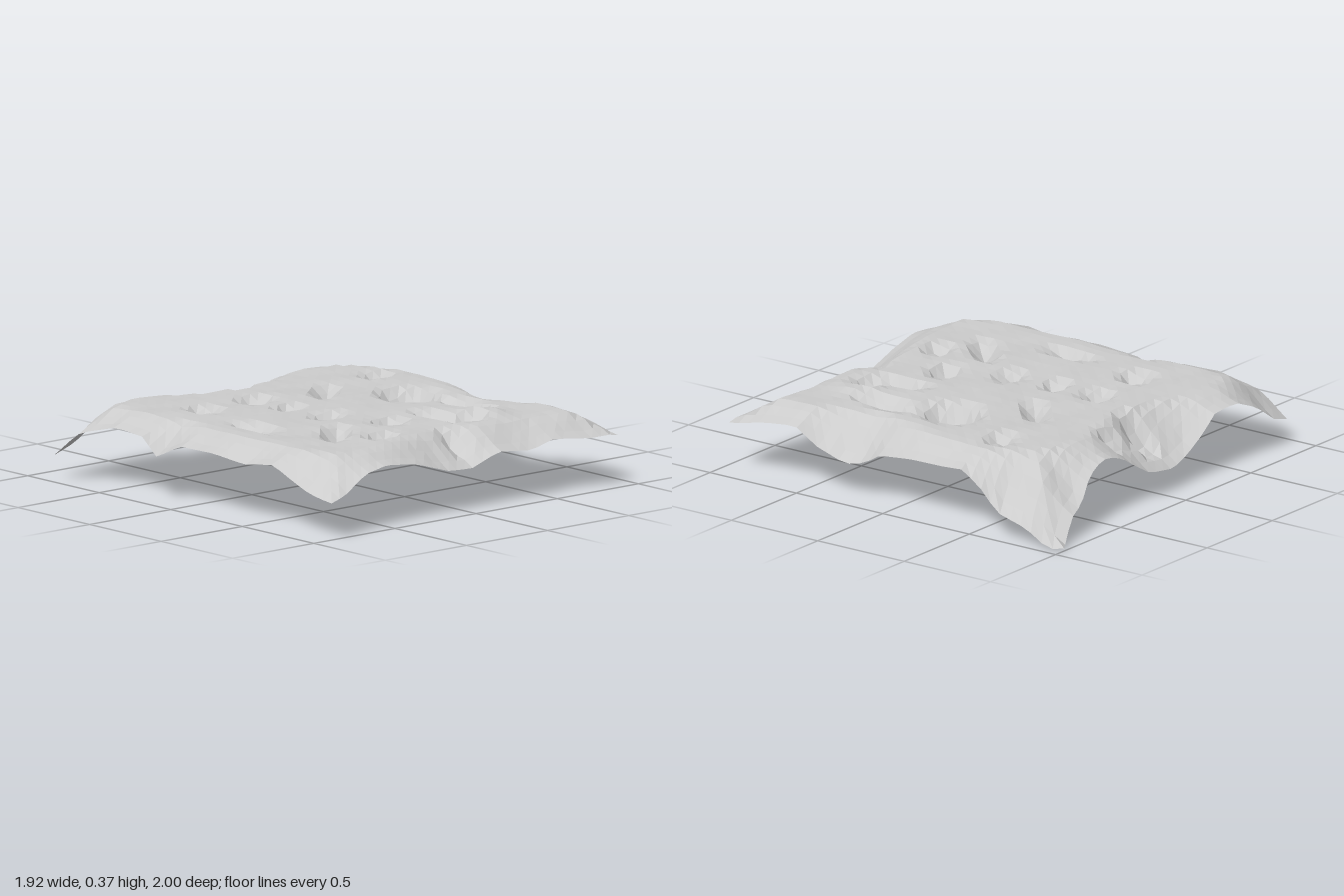
import * as THREE from 'three';

const TOP = 0.354;   // height of the flat middle
const N = 34;        // grid cells per side

// Border curves as [position along the edge, outward reach, height]
const backEdge = [[-0.96, 0.86, 0.12], [-0.85, 0.87, 0.15], [-0.7, 0.88, 0.25], [-0.55, 0.88, 0.31], [-0.4, 0.87, 0.3],
  [-0.3, 0.87, 0.22], [-0.2, 0.86, 0.15], [-0.08, 0.87, 0.115], [0.1, 0.87, 0.14], [0.2, 0.85, 0.2], [0.3, 0.86, 0.26],
  [0.42, 0.865, 0.3], [0.52, 0.87, 0.28], [0.6, 0.89, 0.24], [0.68, 0.91, 0.15], [0.77, 0.93, 0.12], [0.85, 0.95, 0.04], [0.9, 0.98, 0], [0.93, 1, 0.02]];
const frontEdge = [[-0.89, 1, 0.18], [-0.78, 0.98, 0.21], [-0.65, 0.965, 0.28], [-0.5, 0.95, 0.3], [-0.3, 0.93, 0.27],
  [-0.1, 0.925, 0.21], [0.05, 0.915, 0.2], [0.2, 0.93, 0.26], [0.4, 0.935, 0.24], [0.55, 0.92, 0.27], [0.75, 0.95, 0.25], [0.92, 0.95, 0.25]];
const leftEdge = [[-0.98, 0.93, 0.02], [-0.92, 0.94, 0], [-0.8, 0.955, 0.08], [-0.62, 0.96, 0.13], [-0.54, 0.95, 0.21],
  [-0.42, 0.945, 0.29], [-0.3, 0.94, 0.28], [-0.1, 0.92, 0.27], [0.1, 0.89, 0.24], [0.2, 0.88, 0.18], [0.3, 0.89, 0.16],
  [0.45, 0.91, 0.22], [0.57, 0.92, 0.3], [0.75, 0.92, 0.28], [0.93, 0.92, 0.24]];
const rightEdge = [[-0.86, 0.96, 0.12], [-0.7, 0.92, 0.25], [-0.5, 0.9, 0.3], [-0.3, 0.91, 0.29], [-0.2, 0.91, 0.21],
  [-0.06, 0.89, 0.28], [0.2, 0.91, 0.29], [0.4, 0.9, 0.27], [0.6, 0.9, 0.3], [0.7, 0.9, 0.26], [0.85, 0.89, 0.2], [0.98, 0.89, 0.18]];

// Dents and ridges: [x, z, half length x, half length z, turn, depth]
const dents = [
  [-0.48, -0.35, 0.1, 0.12, 0, 0.07], [-0.16, -0.37, 0.13, 0.11, 0, 0.06], [0.2, -0.28, 0.2, 0.08, 0.75, 0.07],
  [-0.16, -0.13, 0.1, 0.08, 0, 0.06], [0.62, -0.4, 0.12, 0.1, 0, 0.05], [0.45, 0.02, 0.17, 0.2, 0, 0.165],
  [0.52, 0.34, 0.08, 0.25, 0, 0.08], [-0.57, 0.1, 0.08, 0.2, 0, 0.06], [-0.14, 0.12, 0.13, 0.09, 0, 0.06],
  [-0.37, 0.44, 0.23, 0.09, 0.75, 0.07], [-0.02, 0.41, 0.11, 0.1, 0, 0.08], [0.23, 0.46, 0.07, 0.2, 0, 0.07],
  [0.33, 0.58, 0.14, 0.11, 0, 0.08], [-0.25, 0.62, 0.12, 0.09, 0, 0.06], [-0.02, -0.7, 0.12, 0.15, 0, 0.09],
  [0.22, -0.72, 0.09, 0.09, 0, 0.04], [0.06, 0.76, 0.09, 0.12, 0, 0.05], [0.42, 0.56, 0.18, 0.16, 0, -0.03],
];

const clamp = THREE.MathUtils.clamp;

// Linear reading of column c of a border curve
function read(curve, s, c) {
  let i = 1;
  while (i < curve.length - 1 && s > curve[i][0]) i++;
  const [a, b] = [curve[i - 1], curve[i]];
  return THREE.MathUtils.lerp(a[c], b[c], clamp((s - a[0]) / (b[0] - a[0]), 0, 1));
}

// Droop caused by one border at a distance from it; deeper folds reach further in
function droop(curve, s, distance) {
  const drop = TOP - read(curve, s, 2);
  const t = clamp(1 - distance / (0.13 + 0.55 * drop), 0, 1);
  return drop * (0.6 * t + 0.4 * t * t * (3 - 2 * t));
}

function dentDepth(x, z) {
  let sum = 0;
  for (const [cx, cz, rx, rz, turn, depth] of dents) {
    const c = Math.cos(turn), s = Math.sin(turn);
    const dx = ((x - cx) * c - (z - cz) * s) / rx, dz = ((x - cx) * s + (z - cz) * c) / rz;
    const r = Math.hypot(dx, dz);
    if (r < 1) sum += depth * (0.5 + 0.5 * Math.cos(Math.PI * r));
  }
  return sum;
}

// Seeded crumple value between -1 and 1
function makeCrumple(seed) {
  return () => {
    seed = (seed * 16807) % 2147483647;
    return (seed / 2147483647) * 2 - 1;
  };
}

export function createModel() {
  const group = new THREE.Group();
  group.name = 'drapedCloth';
  const crumple = makeCrumple(71);

  // Flat grid pulled out to the border curves, then draped, dented and crumpled
  const geometry = new THREE.PlaneGeometry(2, 2, N, N).rotateX(-Math.PI / 2);
  const p = geometry.attributes.position;
  for (let i = 0; i < p.count; i++) {
    const u = p.getX(i), v = p.getZ(i);
    const reachX = read(u > 0 ? leftEdge : rightEdge, v * 0.95, 1);
    const reachZ = read(v > 0 ? frontEdge : backEdge, u * 0.93, 1);
    const x = u * reachX, z = v * reachZ;
    const sideDrop = droop(u > 0 ? leftEdge : rightEdge, z, (1 - Math.abs(u)) * reachX);
    const endDrop = droop(v > 0 ? frontEdge : backEdge, x, (1 - Math.abs(v)) * reachZ);
    const drop = Math.max(sideDrop, endDrop);
    const inside = clamp((1 - Math.max(Math.abs(u), Math.abs(v))) * 10, 0, 1);
    const ripple = 0.004 * Math.sin(x * 11 + 2 * Math.sin(z * 7)) * Math.cos(z * 9);
    const rough = 0.001 + 0.04 * Math.min(drop, 0.12);
    const y = TOP - drop + inside * (ripple - dentDepth(x, z) + crumple() * rough);
    p.setXYZ(i, x, Math.max(0, y), z);
  }
  geometry.computeVertexNormals();

  const material = new THREE.MeshStandardMaterial({ color: 0xcccccc, flatShading: true, side: THREE.DoubleSide });
  const sheet = new THREE.Mesh(geometry, material);
  sheet.name = 'clothSheet';
  group.add(sheet);
  return group;
}
